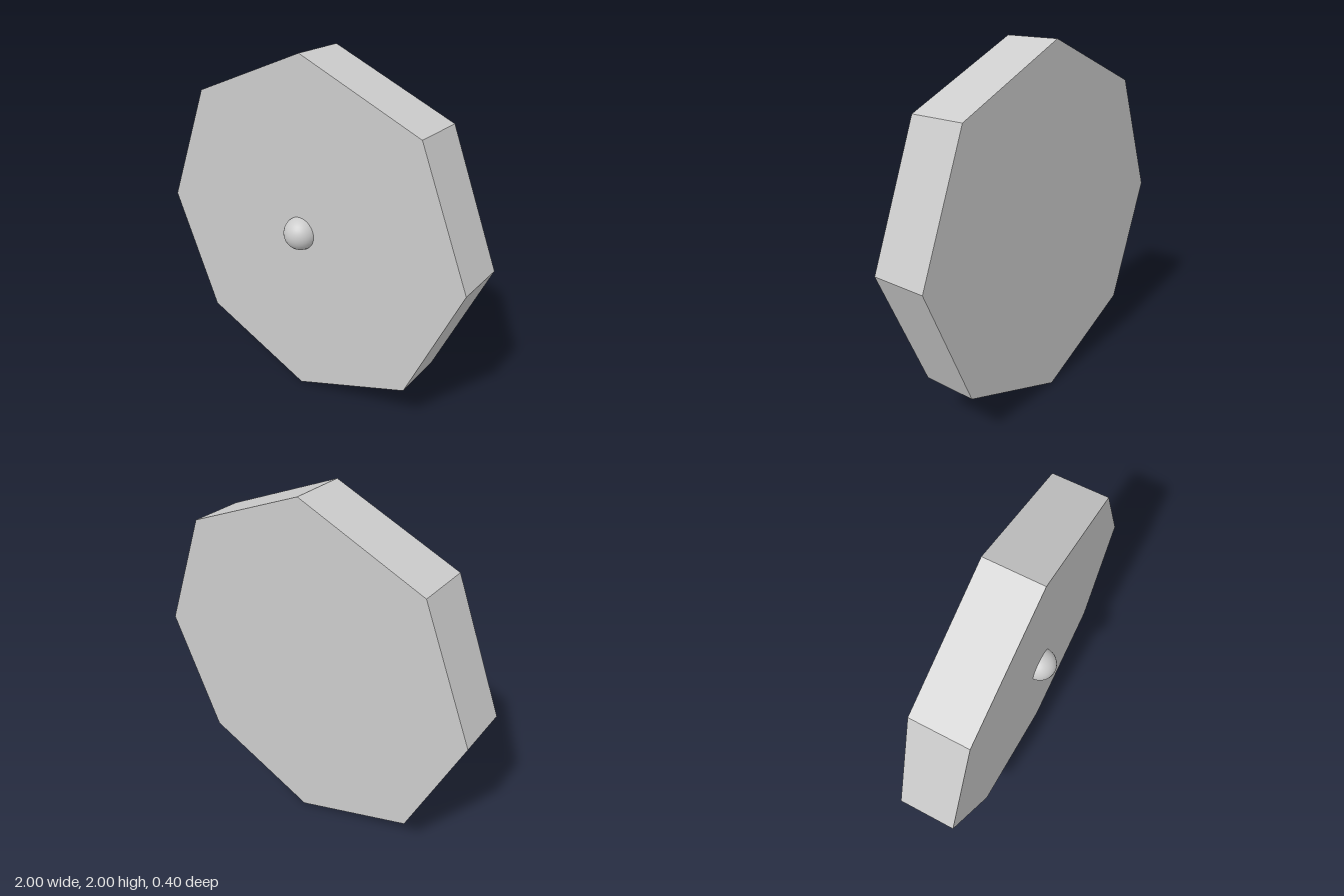
import * as THREE from 'three';

export function createModel() {
  const group = new THREE.Group();
  const back = -0.2, front = 0.11;

  // Octagonal slab standing on one corner, facing +z
  const slab = new THREE.Mesh(
    new THREE.CylinderGeometry(1, 1, front - back, 8).rotateX(Math.PI / 2),
    new THREE.MeshStandardMaterial({ color: 0xcccccc, flatShading: true })
  );
  slab.name = 'octagonalSlab';
  slab.position.set(0, 1, (front + back) / 2);
  group.add(slab);

  // Round knob half sunk into the front face
  const knob = new THREE.Mesh(
    new THREE.SphereGeometry(0.094, 32, 16),
    new THREE.MeshStandardMaterial({ color: 0xcccccc })
  );
  knob.name = 'knob';
  knob.position.set(0, 1.025, 0.106);
  group.add(knob);

  return group;
}
